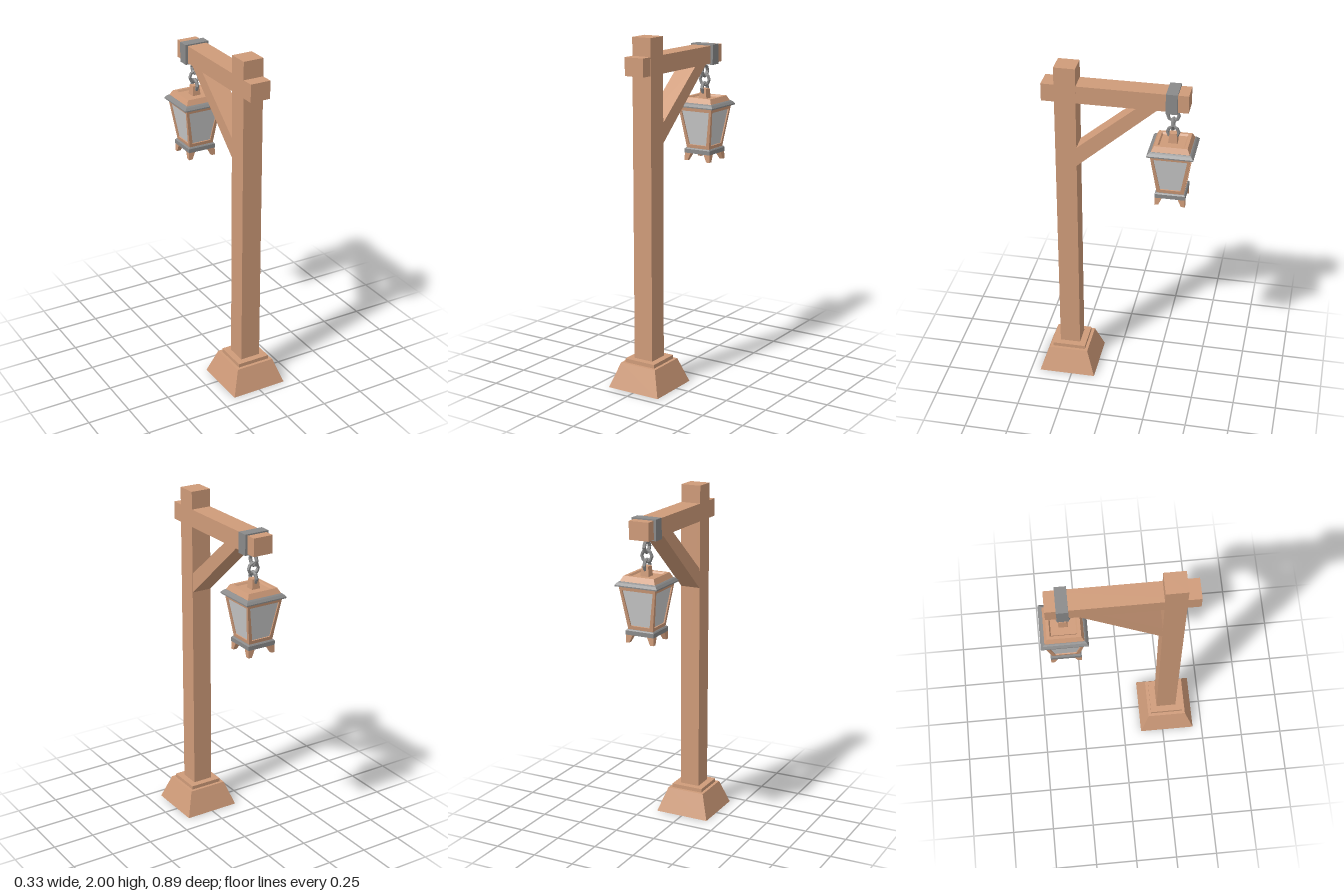
import * as THREE from 'three';

const material = (color) => new THREE.MeshStandardMaterial({ color, flatShading: true });

export function createModel() {
  const wood = material(0xcf9b79);
  const iron = material(0x8a8a8a);
  const glass = material(0xcccccc);
  const model = new THREE.Group();
  model.name = 'lampPost';

  const add = (parent, name, geometry, mat, x = 0, y = 0, z = 0) => {
    const mesh = new THREE.Mesh(geometry, mat);
    mesh.name = name;
    mesh.position.set(x, y, z);
    parent.add(mesh);
    return mesh;
  };

  // Square solid from [halfWidth, y] rows, listed from bottom to top
  const squareSolid = (rows) => new THREE.LatheGeometry(
    rows.map(([w, y]) => new THREE.Vector2(w * Math.SQRT2, y)), 4).rotateY(Math.PI / 4);

  // Stepped foot block
  const postZ = 0.277;
  add(model, 'base', squareSolid([
    [0, 0], [0.167, 0], [0.116, 0.145], [0.098, 0.145], [0.098, 0.167], [0, 0.167],
  ]), wood, 0, 0, postZ);

  // Post and arm
  add(model, 'post', new THREE.BoxGeometry(0.12, 1.85, 0.12), wood, 0, 1.075, postZ);
  add(model, 'arm', new THREE.BoxGeometry(0.119, 0.102, 0.812), wood, 0, 1.847, 0.004);

  // Diagonal brace, drawn in the z-y plane
  const braceShape = new THREE.Shape([
    [0.23, 1.39], [0.23, 1.53], [0.217, 1.52], [-0.12, 1.8], [-0.235, 1.8], [0.217, 1.405],
  ].map(([z, y]) => new THREE.Vector2(-z, y)));
  const brace = new THREE.ExtrudeGeometry(braceShape, { depth: 0.116, bevelEnabled: false });
  brace.translate(0, 0, -0.058).rotateY(Math.PI / 2);
  add(model, 'brace', brace, wood);

  // Iron strap around the arm
  add(model, 'strap', new THREE.BoxGeometry(0.148, 0.117, 0.064), iron, 0, 1.847, -0.311);

  // Chain of alternating links
  const chain = new THREE.Group();
  chain.name = 'chain';
  model.add(chain);
  [1.746, 1.696, 1.646].forEach((y, i) => {
    const link = add(chain, 'chainLink', new THREE.TorusGeometry(0.031, 0.01, 6, 8), iron, 0, y, -0.312);
    link.rotation.y = i % 2 ? 0 : Math.PI / 2;
  });

  const lantern = new THREE.Group();
  lantern.name = 'lantern';
  lantern.position.z = -0.315;
  model.add(lantern);

  // Roof: iron rim, wooden cap with a shallow tray, and a hanging knob
  add(lantern, 'roofRim', squareSolid([
    [0, 1.542], [0.129, 1.542], [0.129, 1.549], [0.118, 1.562], [0.11, 1.568], [0, 1.568],
  ]), iron);
  add(lantern, 'roofCap', squareSolid([
    [0, 1.566], [0.108, 1.566], [0.092, 1.597], [0.075, 1.597], [0.068, 1.587], [0, 1.587],
  ]), wood);
  add(lantern, 'knob', squareSolid([[0, 1.58], [0.026, 1.58], [0.02, 1.643], [0, 1.643]]), wood);

  // Tapered glass body
  add(lantern, 'glass', squareSolid([[0, 1.29], [0.068, 1.29], [0.104, 1.545], [0, 1.545]]), glass);

  // Four leaning window frames
  const height = 0.253;
  const frameShape = new THREE.Shape([[-0.075, 0], [0.075, 0], [0.112, height], [-0.112, height]]
    .map((p) => new THREE.Vector2(...p)));
  frameShape.holes.push(new THREE.Path([[-0.058, 0.025], [-0.094, 0.23], [0.094, 0.23], [0.058, 0.025]]
    .map((p) => new THREE.Vector2(...p))));
  const frameGeometry = new THREE.ExtrudeGeometry(frameShape, { depth: 0.012, bevelEnabled: false });
  frameGeometry.translate(0, 0, -0.012)
    .rotateX(Math.asin(0.037 / height))
    .translate(0, 1.292, 0.075);
  for (let i = 0; i < 4; i++) {
    add(lantern, 'windowFrame', frameGeometry, wood).rotation.y = i * Math.PI / 2;
  }

  // Bottom band and floor plate
  add(lantern, 'bottomBand', squareSolid([
    [0.074, 1.266], [0.086, 1.266], [0.086, 1.29], [0.08, 1.297], [0, 1.297],
  ]), iron);
  add(lantern, 'floorPlate', squareSolid([[0, 1.264], [0.076, 1.264], [0.076, 1.28], [0, 1.28]]), wood);

  // Splayed corner feet: the lower end shifts outward
  const footGeometry = squareSolid([[0, -0.05], [0.011, -0.05], [0.021, 0], [0, 0]]);
  const pos = footGeometry.attributes.position;
  for (let i = 0; i < pos.count; i++) {
    const shift = -pos.getY(i) * 0.24;
    pos.setXYZ(i, pos.getX(i) + shift, pos.getY(i), pos.getZ(i) + shift);
  }
  for (let i = 0; i < 4; i++) {
    const corner = new THREE.Group();
    corner.name = 'footCorner';
    corner.rotation.y = i * Math.PI / 2;
    add(corner, 'foot', footGeometry, wood, 0.063, 1.272, 0.063);
    lantern.add(corner);
  }

  return model;
}
